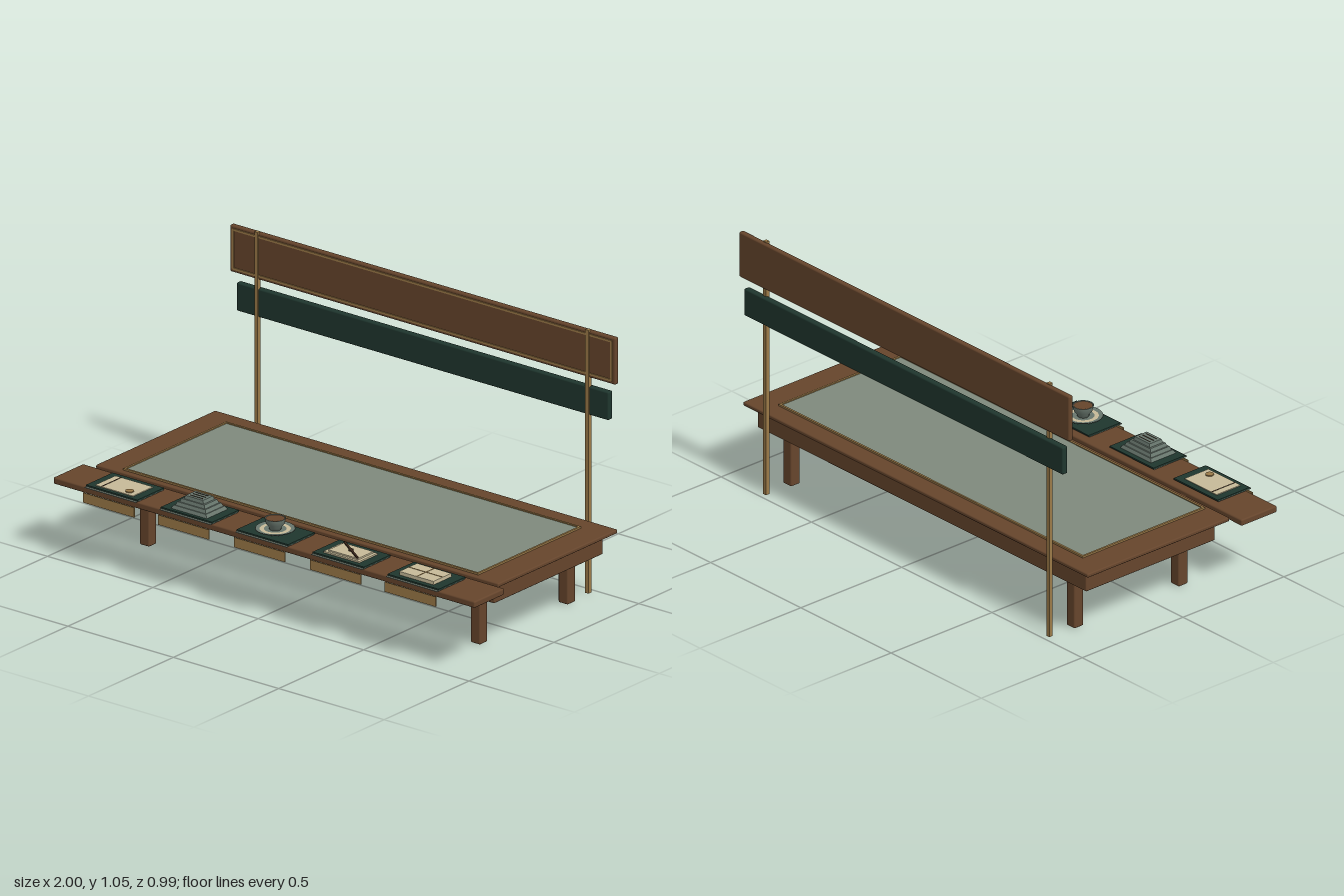
import * as THREE from 'three';
import { RoundedBoxGeometry } from 'three/addons/geometries/RoundedBoxGeometry.js';

const mat = (name, color) => {
  const m = new THREE.MeshStandardMaterial({ color });
  m.name = name;
  return m;
};

export function createModel() {
  const wood = mat('walnut', 0x66452c);
  const brass = mat('brass', 0x9b7a48);
  const green = mat('darkGreen', 0x1f362e);
  const glass = mat('greyGreenGlass', 0x7f8a7d);
  const cream = mat('creamPaper', 0xc6ba98);
  const stone = mat('greyStone', 0x68766d);
  const dark = mat('darkBrown', 0x3a271a);

  const root = new THREE.Group();
  root.name = 'displayTable';

  const add = (parent, name, geo, material, x, y, z) => {
    const m = new THREE.Mesh(geo, material);
    m.name = name;
    m.position.set(x, y, z);
    parent.add(m);
    return m;
  };
  // Boxes given by their limits on each axis; r > 0 rounds the edges
  const box = (parent, name, material, [x0, x1], [y0, y1], [z0, z1], r = 0) => {
    const s = [x1 - x0, y1 - y0, z1 - z0];
    const geo = r ? new RoundedBoxGeometry(...s, 2, r) : new THREE.BoxGeometry(...s);
    return add(parent, name, geo, material, (x0 + x1) / 2, (y0 + y1) / 2, (z0 + z1) / 2);
  };

  // Table: top, apron, legs
  box(root, 'tableTop', wood, [-0.955, 0.955], [0.289, 0.305], [-0.432, 0.272], 0.005);
  box(root, 'apron', wood, [-0.91, 0.91], [0.205, 0.286], [-0.4, 0.24], 0.004);
  box(root, 'topSpacer', glass, [-0.84, 0.84], [0.284, 0.291], [-0.35, 0.2]);
  for (const x of [-0.785, 0.785]) {
    for (const z of [0.174, -0.343]) {
      box(root, 'leg', wood, [x - 0.023, x + 0.023], [0.002, 0.288], [z - 0.023, z + 0.023], 0.006);
    }
  }

  // Glass panel with raised trim
  box(root, 'glassPanel', glass, [-0.837, 0.837], [0.3, 0.308], [-0.348, 0.243]);
  for (const z of [-0.352, 0.246]) {
    box(root, 'panelTrimLong', brass, [-0.842, 0.842], [0.302, 0.312], [z - 0.004, z + 0.004]);
  }
  for (const x of [-0.838, 0.838]) {
    box(root, 'panelTrimShort', brass, [x - 0.004, x + 0.004], [0.302, 0.312], [-0.352, 0.246]);
  }

  // Front shelf
  box(root, 'frontShelf', wood, [-1, 1], [0.278, 0.304], [0.291, 0.467], 0.006);

  // Back boards on two posts
  for (const x of [-0.785, 0.785]) {
    box(root, 'post', brass, [x - 0.008, x + 0.008], [0, 1.046], [-0.477, -0.461]);
  }
  box(root, 'headerBoard', wood, [-0.915, 0.915], [0.856, 1.042], [-0.489, -0.467], 0.007);
  box(root, 'lowerBoard', green, [-0.883, 0.883], [0.708, 0.82], [-0.492, -0.466], 0.006);
  for (const y of [0.872, 1.027]) {
    box(root, 'headerTrimLong', brass, [-0.9, 0.9], [y - 0.004, y + 0.004], [-0.47, -0.463]);
  }
  for (const x of [-0.898, 0.898]) {
    box(root, 'headerTrimShort', brass, [x - 0.004, x + 0.004], [0.872, 1.027], [-0.47, -0.463]);
  }

  // Five trays with label plates; each group is centred on its tray
  const trays = [-0.715, -0.36, 0, 0.36, 0.715].map((x) => {
    const g = new THREE.Group();
    g.name = 'tray';
    g.position.set(x, 0, 0.4);
    root.add(g);
    box(g, 'trayGlass', glass, [-0.121, 0.121], [0.308, 0.311], [-0.078, 0.085]);
    box(g, 'trayFoot', dark, [-0.1, 0.1], [0.303, 0.308], [-0.06, 0.05]);
    box(g, 'trayBoard', green, [-0.122, 0.122], [0.311, 0.317], [-0.082, 0.076]);
    box(g, 'labelPlate', brass, [-0.121, 0.121], [0.252, 0.291], [0.089, 0.093]);
    return g;
  });

  // Tray 1: sheet with margin line and seal
  box(trays[0], 'sheet', cream, [-0.09, 0.088], [0.317, 0.32], [-0.058, 0.06]);
  box(trays[0], 'marginLine', dark, [-0.063, -0.06], [0.32, 0.3215], [-0.058, 0.06]);
  add(trays[0], 'seal', new THREE.CylinderGeometry(0.016, 0.016, 0.004, 24), brass, 0.05, 0.322, 0.032);

  // Tray 2: stepped block with grooves
  const tiers = [[0.085, 0.062, 0.317, 0.33], [0.073, 0.052, 0.33, 0.343], [0.06, 0.042, 0.343, 0.356], [0.046, 0.033, 0.356, 0.369]];
  for (const [w, d, y0, y1] of tiers) {
    const tier = box(trays[1], 'blockTier', stone, [-w, w], [y0, y1], [-d, d]);
    // Slope the sides inward
    const p = tier.geometry.attributes.position;
    for (let i = 0; i < p.count; i++) {
      if (p.getY(i) > 0) p.setXYZ(i, p.getX(i) * 0.9, p.getY(i), p.getZ(i) * 0.9);
    }
    tier.geometry.computeVertexNormals();
  }
  for (const z of [-0.017, 0, 0.017]) {
    box(trays[1], 'groove', dark, [-0.03, 0.03], [0.369, 0.3705], [z - 0.0012, z + 0.0012]);
  }

  // Tray 3: cup on a saucer
  const lathe = (pts) => new THREE.LatheGeometry(pts.map(([r, y]) => new THREE.Vector2(r, y)), 40);
  add(trays[2], 'saucer', lathe([[0, 0], [0.05, 0], [0.075, 0.011], [0.073, 0.014], [0.058, 0.009], [0, 0.009]]), stone, 0, 0.317, 0);
  add(trays[2], 'saucerRing', new THREE.RingGeometry(0.042, 0.058, 40).rotateX(-Math.PI / 2), cream, 0, 0.3275, 0);
  add(trays[2], 'cup', lathe([[0, 0], [0.022, 0], [0.024, 0.012], [0.034, 0.024], [0.04, 0.046], [0.036, 0.046], [0.034, 0.04]]), stone, 0, 0.324, 0);
  add(trays[2], 'cupFilling', new THREE.CylinderGeometry(0.036, 0.034, 0.004, 32), wood, 0, 0.366, 0);

  // Tray 4: sheets with a diagonal rod
  box(trays[3], 'lowerSheet', cream, [-0.085, 0.083], [0.317, 0.323], [-0.052, 0.056]);
  box(trays[3], 'upperSheet', cream, [-0.07, 0.07], [0.323, 0.329], [-0.044, 0.046]);
  const rod = box(trays[3], 'rod', dark, [-0.082, 0.082], [0.329, 0.334], [-0.004, 0.004]);
  rod.rotation.y = -0.6;
  add(trays[3], 'rodKnob', new THREE.CylinderGeometry(0.009, 0.009, 0.006, 20), dark, 0, 0.332, 0);

  // Tray 5: block of sheets with crossed fold lines
  box(trays[4], 'sheetBlock', cream, [-0.082, 0.08], [0.317, 0.331], [-0.05, 0.055]);
  box(trays[4], 'foldLine', brass, [-0.0015, 0.0015], [0.331, 0.3325], [-0.05, 0.055]);
  box(trays[4], 'foldLine', brass, [-0.082, 0.08], [0.331, 0.3325], [-0.0015, 0.0015]);

  return root;
}
